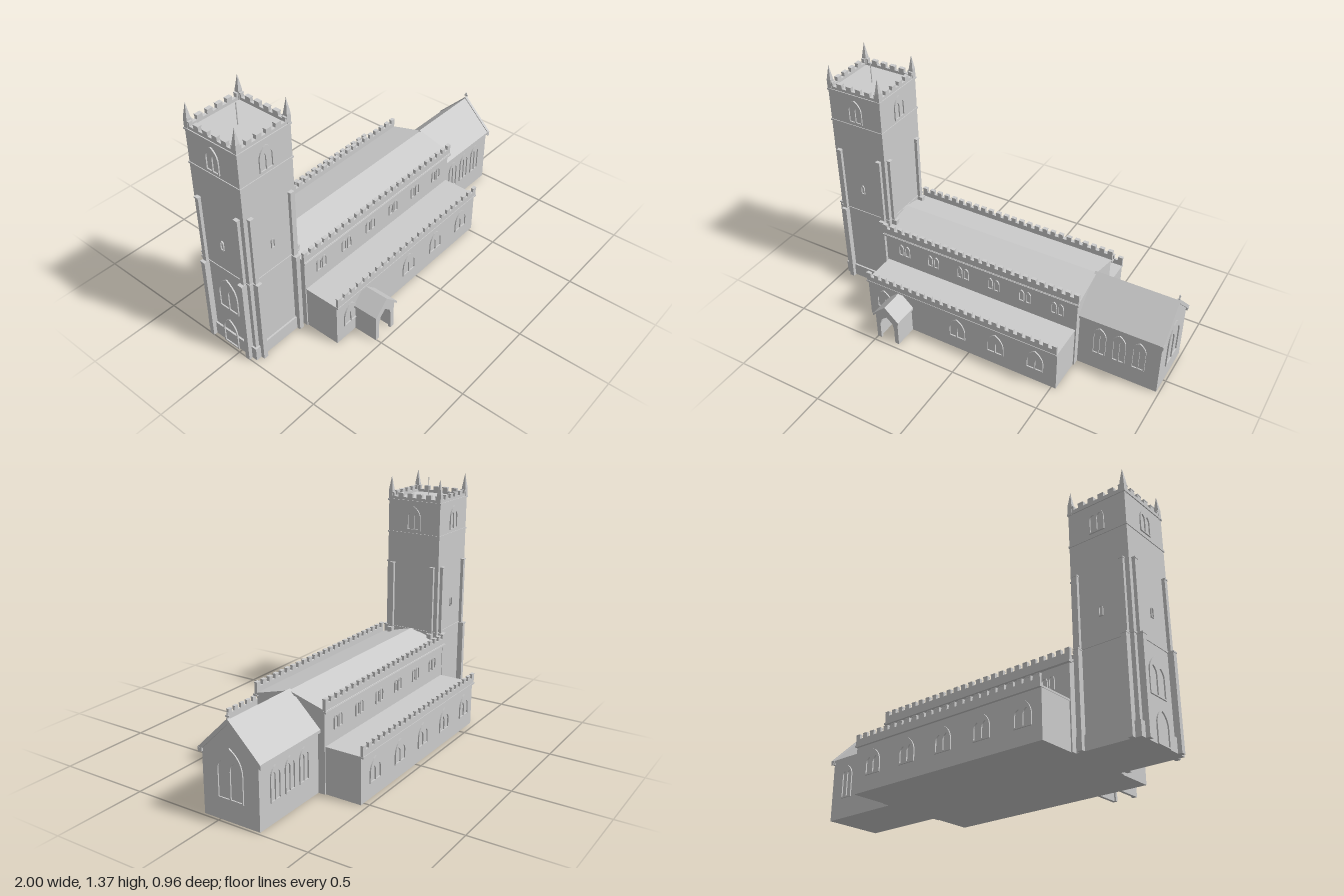
import * as THREE from 'three';

const stone = new THREE.MeshStandardMaterial({ color: 0xcccccc });
stone.name = 'pale stone';
const CZ = -0.067; // long axis of the church
const TX = -0.81;  // tower centre

export function createModel() {
  const root = new THREE.Group();
  root.name = 'church';
  let target = root;

  const section = (name) => {
    target = new THREE.Group();
    target.name = name;
    root.add(target);
  };
  const add = (name, geometry) => {
    const mesh = new THREE.Mesh(geometry, stone);
    mesh.name = name;
    target.add(mesh);
    return mesh;
  };
  const box = (name, x0, x1, y0, y1, z0, z1) => {
    const mesh = add(name, new THREE.BoxGeometry(x1 - x0, y1 - y0, z1 - z0));
    mesh.position.set((x0 + x1) / 2, (y0 + y1) / 2, (z0 + z1) / 2);
    return mesh;
  };
  const polygon = (pts) => new THREE.Shape(pts.map(([a, b]) => new THREE.Vector2(a, b)));

  // Extrude a (z, y) outline along x
  const alongX = (name, pts, x0, x1) => {
    const g = new THREE.ExtrudeGeometry(polygon(pts), { depth: x1 - x0, bevelEnabled: false });
    g.rotateY(-Math.PI / 2).translate(x1, 0, 0);
    return add(name, g);
  };
  // Chevron outline for pitched roofs and copings
  const chevron = (half, eave, ridge, t, c = CZ) => [
    [c - half, eave], [c - half, eave - t], [c, ridge - t], [c + half, eave - t], [c + half, eave], [c, ridge]];

  // Pointed arch outline standing on y = 0
  const archPath = (path, cx, w, y0, h) => {
    const spring = h - w * 0.8, r = w / 2;
    path.moveTo(cx - r, y0);
    path.lineTo(cx + r, y0);
    path.lineTo(cx + r, spring);
    path.quadraticCurveTo(cx + r, spring + w * 0.52, cx, h);
    path.quadraticCurveTo(cx - r, spring + w * 0.52, cx - r, spring);
    path.lineTo(cx - r, y0);
    return path;
  };
  // Raised arched frame with two lights; turn faces it: 0 +z, 1 +x, 2 -z, 3 -x
  const arch = (name, x, y, z, w, h, turn, lights = 2) => {
    const t = Math.min(0.007, w * 0.16);
    const shape = archPath(new THREE.Shape(), 0, w, 0, h);
    if (lights === 2) {
      const lw = (w - 3 * t) / 2;
      for (const s of [-1, 1]) shape.holes.push(archPath(new THREE.Path(), s * (lw + t) / 2, lw, t, h - w * 0.42));
    } else {
      shape.holes.push(archPath(new THREE.Path(), 0, w - 2 * t, t, h - t * 1.3));
    }
    const g = new THREE.ExtrudeGeometry(shape, { depth: 0.007, bevelEnabled: false, curveSegments: 6 });
    const mesh = add(name, g);
    mesh.position.set(x, y, z);
    mesh.rotation.y = turn * Math.PI / 2;
  };

  // Battlemented parapet along x or z
  const parapet = (name, axis, a0, a1, b0, b1, y0, yGap, yTop, count) => {
    const put = (n, s, e, lo, hi, grow = 0) => (axis === 'x'
      ? box(n, s, e, lo, hi, b0 - grow, b1 + grow)
      : box(n, b0 - grow, b1 + grow, lo, hi, s, e));
    put(name, a0, a1, y0, yGap);
    const step = (a1 - a0) / (count - 0.45);
    for (let i = 0; i < count; i++) {
      const s = a0 + i * step, e = s + step * 0.55;
      put('merlon', s, e, yGap, yTop - 0.006);
      put('merlonCap', s, e, yTop - 0.006, yTop, 0.002);
    }
  };

  // Tower
  section('tower');
  const H = 0.162;
  const square = (name, half, y0, y1) => box(name, TX - half, TX + half, y0, y1, CZ - half, CZ + half);
  square('towerShaft', H, 0, 1.225);
  square('towerPlinth', H + 0.01, 0, 0.075);
  square('lowerStringCourse', H + 0.004, 0.485, 0.495);
  square('belfryStringCourse', H + 0.004, 1.045, 1.054);
  square('parapetStringCourse', H + 0.005, 1.228, 1.237);
  for (const s of [-1, 1]) {
    const near = s > 0 ? H - 0.018 : -H, far = s > 0 ? H : 0.018 - H;
    parapet('towerParapet', 'x', TX - H, TX + H, CZ + near, CZ + far, 1.222, 1.252, 1.275, 6);
    parapet('towerParapet', 'z', CZ - H, CZ + H, TX + near, TX + far, 1.222, 1.252, 1.275, 6);
    // Two-stage buttresses, a pair on each face
    for (const t of [-1, 1]) {
      const o = t * 0.128;
      for (const [y0, y1, out, w] of [[0, 0.49, 0.193, 0.013], [0.49, 0.875, 0.179, 0.011]]) {
        const a = s > 0 ? H - 0.01 : -out, b = s > 0 ? out : 0.01 - H;
        box('buttress', TX + o - w, TX + o + w, y0, y1, CZ + a, CZ + b);
        box('buttress', TX + a, TX + b, y0, y1, CZ + o - w, CZ + o + w);
        const ca = a - (s < 0 ? 0.003 : 0), cb = b + (s > 0 ? 0.003 : 0);
        box('buttressCap', TX + o - w - 0.002, TX + o + w + 0.002, y1 - 0.008, y1, CZ + ca, CZ + cb);
        box('buttressCap', TX + ca, TX + cb, y1 - 0.008, y1, CZ + o - w - 0.002, CZ + o + w + 0.002);
      }
      // Corner pinnacles
      const px = TX + s * 0.152, pz = CZ + t * 0.152;
      box('pinnacleBase', px - 0.012, px + 0.012, 1.225, 1.285, pz - 0.012, pz + 0.012);
      const spire = new THREE.ConeGeometry(0.017, 0.08, 4).rotateY(Math.PI / 4).toNonIndexed();
      spire.computeVertexNormals();
      add('pinnacleSpire', spire).position.set(px, 1.325, pz);
    }
  }
  add('flagpole', new THREE.CylinderGeometry(0.0025, 0.0025, 0.13, 6)).position.set(TX, 1.285, CZ);
  for (let k = 0; k < 4; k++) {
    const a = k * Math.PI / 2, fx = TX + Math.sin(a) * H, fz = CZ + Math.cos(a) * H;
    arch('belfryWindow', fx, 1.07, fz, 0.085, 0.135, k);
    if (k !== 1) arch('towerSlitWindow', fx, 0.62, fz, 0.022, 0.055, k, 1);
  }
  arch('westWindow', TX - H, 0.23, CZ, 0.13, 0.2, 3);
  arch('westDoor', TX - H - 0.01, 0, CZ, 0.1, 0.17, 3, 1);

  // Nave with clerestory
  section('nave');
  alongX('naveBody', [[CZ - 0.2, 0], [CZ + 0.2, 0], [CZ + 0.2, 0.435], [CZ, 0.488], [CZ - 0.2, 0.435]], -0.65, 0.532);
  alongX('naveRoof', chevron(0.213, 0.438, 0.498, 0.012), -0.655, 0.54);
  for (const s of [-1, 1]) {
    const zs = [CZ + s * 0.194, CZ + s * 0.21].sort((a, b) => a - b);
    parapet('naveParapet', 'x', -0.66, 0.54, zs[0], zs[1], 0.428, 0.472, 0.497, 25);
    const zl = [CZ + s * 0.194, CZ + s * 0.217].sort((a, b) => a - b);
    box('naveCornice', -0.66, 0.543, 0.425, 0.435, zl[0], zl[1]);
    for (let i = 0; i < 6; i++) {
      for (const d of [-0.02, 0.02]) {
        arch('clerestoryWindow', -0.53 + i * 0.19 + d, 0.315, CZ + s * 0.2, 0.032, 0.075, s > 0 ? 0 : 2, 1);
      }
    }
  }

  // Side aisles
  section('aisles');
  for (const s of [-1, 1]) {
    const span = (a, b) => [CZ + s * a, CZ + s * b].sort((p, q) => p - q);
    box('aisleWall', -0.643, 0.525, 0, 0.242, ...span(0.18, 0.4));
    box('aisleRoof', -0.645, 0.527, 0.24, 0.25, ...span(0.19, 0.413));
    parapet('aisleParapet', 'x', -0.643, 0.525, ...span(0.397, 0.41), 0.24, 0.28, 0.305, 24);
    for (let i = 0; i < 5; i++) {
      if (s > 0 && i === 1) continue; // the porch stands here
      arch('aisleWindow', -0.54 + i * 0.235, 0.08, CZ + s * 0.4, 0.1, 0.13, s > 0 ? 0 : 2);
    }
  }

  // Chancel
  section('chancel');
  alongX('chancelBody', [[CZ - H, 0], [CZ + H, 0], [CZ + H, 0.33], [CZ, 0.49], [CZ - H, 0.33]], 0.53, 0.985);
  alongX('chancelRoof', chevron(0.176, 0.334, 0.506, 0.016), 0.53, 0.98);
  alongX('gableCoping', chevron(0.18, 0.336, 0.513, 0.026), 0.978, 0.994);
  for (const s of [-1, 1]) {
    const z = CZ + s * 0.168;
    box('gableKneeler', 0.975, 0.995, 0.316, 0.335, z - 0.011, z + 0.011);
    for (const x of [0.65, 0.76, 0.87]) arch('chancelWindow', x, 0.11, CZ + s * H, 0.075, 0.18, s > 0 ? 0 : 2);
  }
  arch('eastWindow', 0.985, 0.11, CZ, 0.15, 0.26, 1);
  box('gableCross', 0.985, 0.991, 0.505, 0.54, CZ - 0.003, CZ + 0.003);
  box('gableCrossArm', 0.985, 0.991, 0.52, 0.527, CZ - 0.011, CZ + 0.011);

  // Open porch
  section('porch');
  const PX = -0.433;
  for (const s of [-1, 1]) {
    const x = PX + s * 0.062;
    box('porchWall', x - 0.008, x + 0.008, 0, 0.165, 0.33, 0.466);
  }
  const front = polygon([[-0.07, 0], [-0.045, 0], [-0.045, 0.1], [-0.035, 0.135], [0, 0.165],
    [0.035, 0.135], [0.045, 0.1], [0.045, 0], [0.07, 0], [0.07, 0.16], [0, 0.23], [-0.07, 0.16]]);
  add('porchFront', new THREE.ExtrudeGeometry(front, { depth: 0.014, bevelEnabled: false })).position.set(PX, 0, 0.454);
  const roof = polygon(chevron(0.082, 0.166, 0.243, 0.014, 0));
  add('porchRoof', new THREE.ExtrudeGeometry(roof, { depth: 0.146, bevelEnabled: false })).position.set(PX, 0, 0.332);
  arch('porchDoor', PX, 0.03, 0.333, 0.085, 0.15, 0, 1);

  return root;
}
